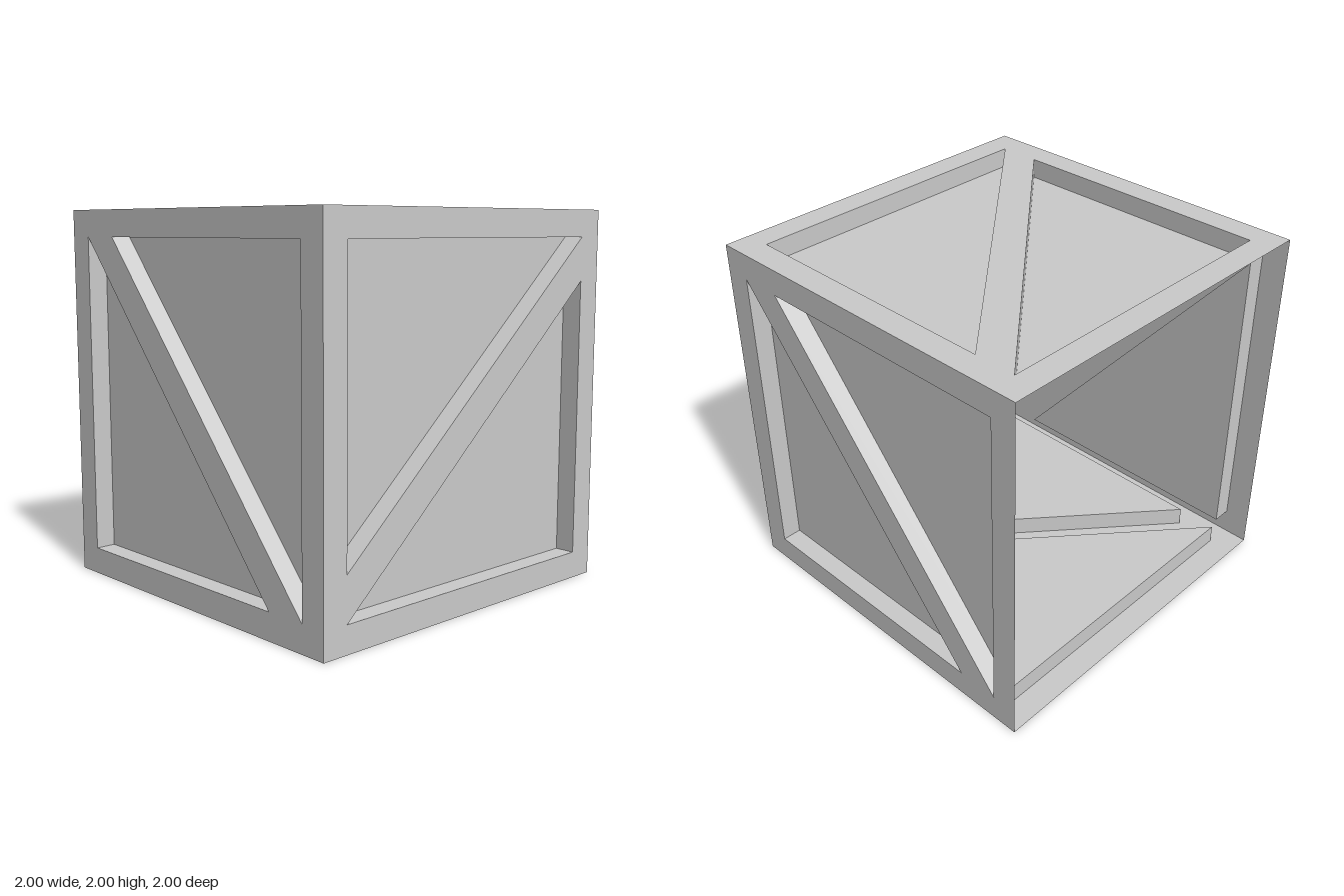
import * as THREE from 'three';

const E = 0.857;    // half width inside the frame border
const CUT = 0.625;  // where the diagonal brace meets the border
const DEPTH = 0.108; // how far the panels are sunk

// The two triangular pockets of a side, counter-clockwise from outside
const upper = [[-E, E], [-E, -CUT], [E, E]];
const triangles = [upper, upper.map(([x, y]) => [-x, -y])];

const outline = (points) => new THREE.Shape(points.map(([x, y]) => new THREE.Vector2(x, y)));

// Walls running from the frame surface in to the sunk panel
function pocketWalls(points) {
  const pos = [];
  points.forEach((a, i) => {
    const b = points[(i + 1) % points.length];
    const [af, bf, bb, ab] = [[...a, 1], [...b, 1], [...b, 1 - DEPTH], [...a, 1 - DEPTH]];
    pos.push(...af, ...bf, ...bb, ...af, ...bb, ...ab);
  });
  const geo = new THREE.BufferGeometry();
  geo.setAttribute('position', new THREE.Float32BufferAttribute(pos, 3));
  geo.computeVertexNormals();
  return geo;
}

export function createModel() {
  const material = new THREE.MeshStandardMaterial({ color: 0xcccccc, side: THREE.DoubleSide });
  const crate = new THREE.Group();
  crate.name = 'crate';

  const add = (parent, name, geometry) => {
    const mesh = new THREE.Mesh(geometry, material);
    mesh.name = name;
    parent.add(mesh);
  };

  // Border and diagonal brace: a square with two triangular holes
  const frameShape = outline([[-1, -1], [1, -1], [1, 1], [-1, 1]]);
  triangles.forEach((t) => frameShape.holes.push(new THREE.Path(outline(t).getPoints())));
  const frame = new THREE.ShapeGeometry(frameShape).translate(0, 0, 1);
  const pockets = triangles.map((t) => ({
    walls: pocketWalls(t),
    panel: new THREE.ShapeGeometry(outline(t)).translate(0, 0, 1 - DEPTH),
  }));

  // Five thin sides; the back stays open. Left and right have the brace turned.
  const Q = Math.PI / 2;
  const sides = [
    ['frontSide', 0, 0, 0],
    ['leftSide', 0, Q, Q],
    ['rightSide', 0, -Q, Q],
    ['topSide', -Q, 0, 0],
    ['bottomSide', Q, 0, 0],
  ];
  for (const [name, rx, ry, rz] of sides) {
    const side = new THREE.Group();
    side.name = name;
    side.rotation.set(rx, ry, rz);
    side.position.y = 1;
    add(side, 'frame', frame);
    pockets.forEach(({ walls, panel }) => {
      add(side, 'pocketWalls', walls);
      add(side, 'panel', panel);
    });
    crate.add(side);
  }
  return crate;
}
